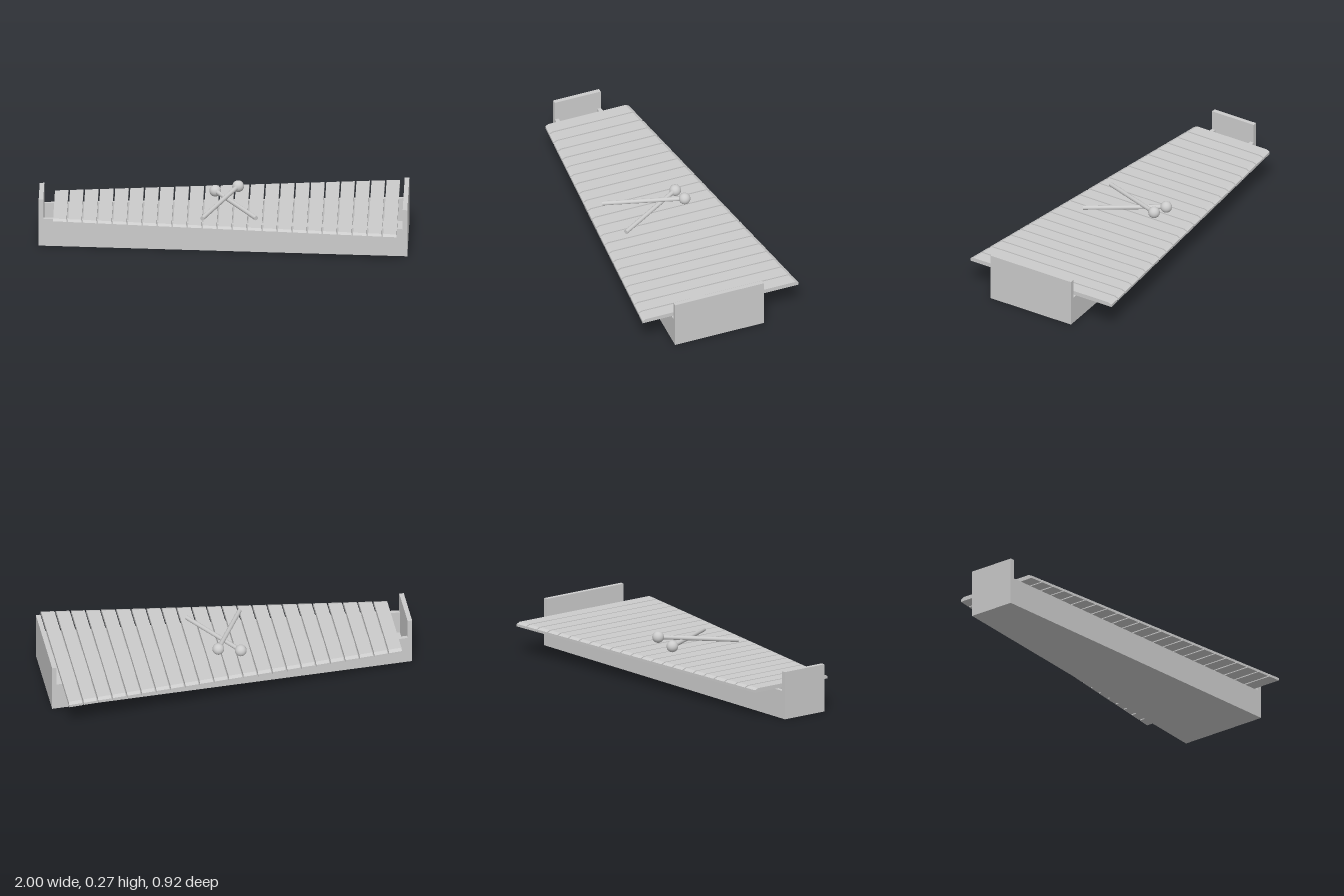
import * as THREE from 'three';

const material = new THREE.MeshStandardMaterial({ color: 0xcccccc, flatShading: true, side: THREE.DoubleSide });
const smooth = new THREE.MeshStandardMaterial({ color: 0xcccccc });
const lerp = THREE.MathUtils.lerp;

// Edges of the tapered trough and of the row of bars at a given x
const trough = (x) => {
  const t = (x + 1) / 2;
  return { back: lerp(-0.108, -0.233, t), front: lerp(0.16, 0.29, t) };
};
const X0 = -0.92, X1 = 0.945;
const barEnds = (x) => {
  const t = (x - X0) / (X1 - X0);
  return { back: lerp(-0.25, -0.46, t), front: lerp(0.24, 0.458, t) };
};

// Upright prism from a plan outline of [x, z] points
function prism(name, points, y0, y1, holePoints) {
  const vec = (p) => new THREE.Vector2(p[0], -p[1]);
  const shape = new THREE.Shape(points.map(vec));
  if (holePoints) shape.holes.push(new THREE.Path(holePoints.map(vec)));
  const geo = new THREE.ExtrudeGeometry(shape, { depth: y1 - y0, bevelEnabled: false });
  geo.rotateX(-Math.PI / 2).translate(0, y0, 0);
  const mesh = new THREE.Mesh(geo, material);
  mesh.name = name;
  return mesh;
}

// Plan outline between two x values, inset from the trough's sides
function outline(xa, xb, inset = 0) {
  const a = trough(xa), b = trough(xb);
  return [[xa, a.front - inset], [xb, b.front - inset], [xb, b.back + inset], [xa, a.back + inset]];
}

// One bar: cross-section along z with chamfered upper ends, skewed to follow the taper
function bar(xa, xb) {
  const y0 = 0.155, y1 = 0.178, chamfer = 0.02;
  const geo = new THREE.BoxGeometry(1, 1, 1, 1, 2, 3);
  const pos = geo.attributes.position;
  for (let i = 0; i < pos.count; i++) {
    const x = pos.getX(i) < 0 ? xa : xb;
    const e = barEnds(x);
    const row = Math.round((pos.getY(i) + 0.5) * 2);
    const col = Math.round((pos.getZ(i) + 0.5) * 3);
    const outer = col === 0 || col === 3;
    const y = row === 0 ? y0 : row === 1 || outer ? y0 + 0.014 : y1;
    const z = [e.back, e.back + chamfer, e.front - chamfer, e.front][col];
    pos.setXYZ(i, x, y, z);
  }
  geo.computeVertexNormals();
  const mesh = new THREE.Mesh(geo, material);
  mesh.name = 'bar';
  return mesh;
}

// Mallet: round head with a thin stick
function mallet(head, tail) {
  const group = new THREE.Group();
  group.name = 'mallet';
  const a = new THREE.Vector3(...head), b = new THREE.Vector3(...tail);
  const ball = new THREE.Mesh(new THREE.SphereGeometry(0.032, 24, 16), smooth);
  ball.name = 'malletHead';
  ball.position.copy(a);
  const stick = new THREE.Mesh(new THREE.CylinderGeometry(0.012, 0.012, a.distanceTo(b), 16), smooth);
  stick.name = 'malletStick';
  stick.position.copy(a).lerp(b, 0.5);
  stick.quaternion.setFromUnitVectors(new THREE.Vector3(0, 1, 0), b.clone().sub(a).normalize());
  group.add(ball, stick);
  return group;
}

export function createModel() {
  const model = new THREE.Group();
  model.name = 'xylophone';
  const wall = 0.025, inner = 1 - wall;

  // Hollow tapered trough: floor and side walls
  model.add(prism('floor', outline(-inner, inner), 0, 0.025));
  for (const side of ['front', 'back']) {
    const inset = side === 'front' ? -0.022 : 0.022;
    const a = trough(-inner)[side], b = trough(inner)[side];
    model.add(prism(side + 'Wall', [[-inner, a], [inner, b], [inner, b + inset], [-inner, a + inset]], 0, 0.155));
  }

  // Tall end plates
  model.add(prism('rightEndPlate', outline(-1, -inner), 0, 0.265));
  model.add(prism('leftEndPlate', outline(inner, 1), 0, 0.265));

  // Row of bars
  const bars = new THREE.Group();
  bars.name = 'bars';
  const count = 23, gap = 0.009, pitch = (X1 - X0 + gap) / count;
  for (let i = 0; i < count; i++) {
    const x = X0 + i * pitch;
    bars.add(bar(x, x + pitch - gap));
  }
  model.add(bars);

  // Crossed mallets, the second resting on the first
  model.add(mallet([-0.05, 0.21, -0.155], [0.18, 0.192, 0.232]));
  model.add(mallet([0.074, 0.236, -0.158], [-0.112, 0.194, 0.247]));
  return model;
}
